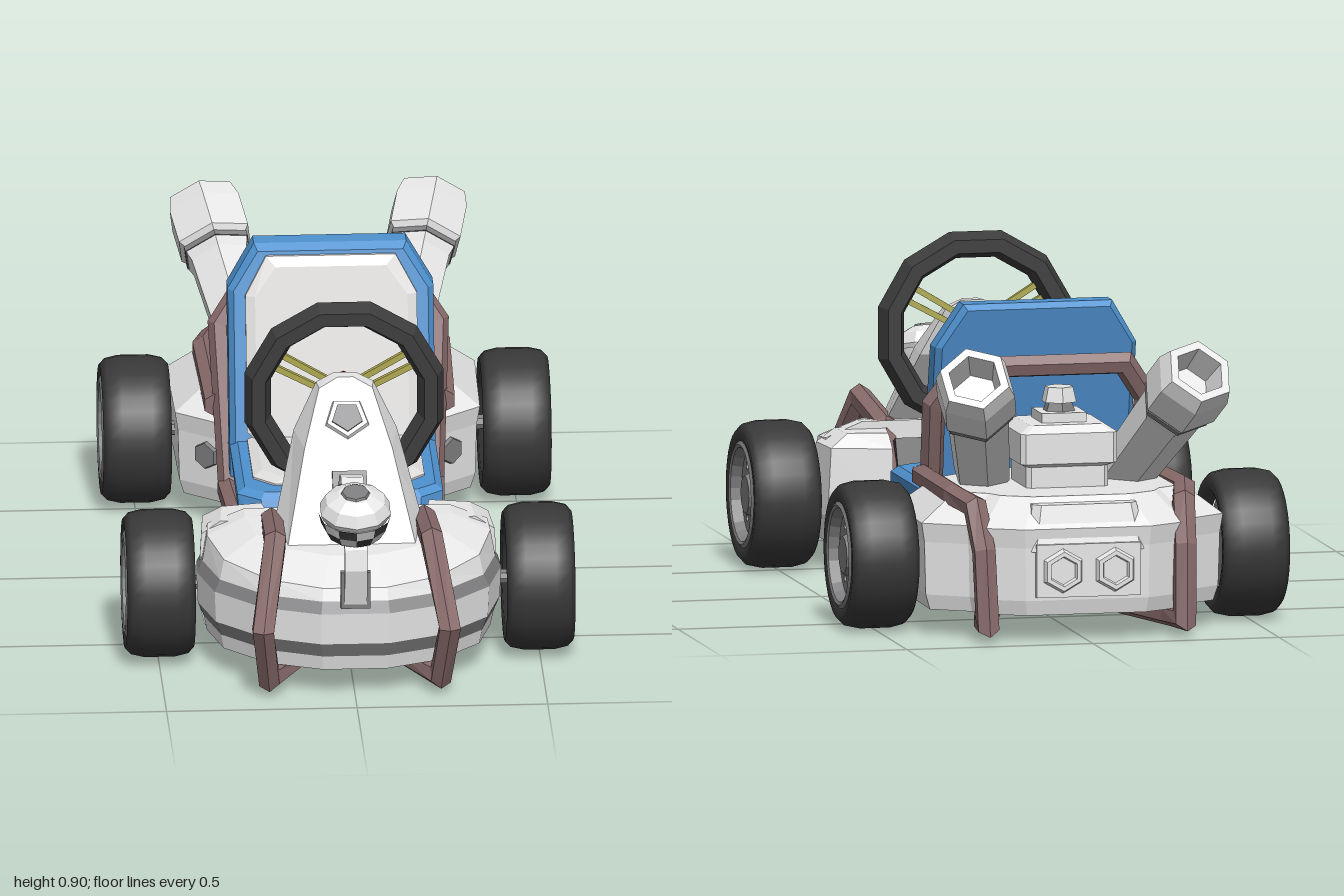
import * as THREE from 'three';

const mat = (name, color) => { const m = new THREE.MeshStandardMaterial({ color }); m.name = name; return m; };
const M = {
  body: mat('light grey body', 0xe6e6e6), cushion: mat('cushion grey', 0xe0dfde), steel: mat('steel grey', 0x7e7e80),
  tyre: mat('tyre black', 0x383838), dark: mat('dark grey', 0x3c3c3c), rail: mat('rail brown', 0x8a6c6c),
  blue: mat('seat blue', 0x4f92d0), red: mat('hub red', 0x7c1c20), yellow: mat('spoke yellow', 0xb0aa52),
};
const SIDES = [1, -1];
const V = (p) => new THREE.Vector3(...p);

function add(parent, name, geo, material, pos = [0, 0, 0], rot = [0, 0, 0]) {
  const m = new THREE.Mesh(geo, material);
  m.name = name; m.position.set(...pos); m.rotation.set(...rot);
  parent.add(m);
  return m;
}
function flat(geo) {
  const g = geo.index ? geo.toNonIndexed() : geo;
  g.computeVertexNormals();
  return g;
}
const box = (w, h, d) => new THREE.BoxGeometry(w, h, d);
const cyl = (r0, r1, h, n) => flat(new THREE.CylinderGeometry(r0, r1, h, n));
const lathe = (pts, n) => new THREE.LatheGeometry(pts.map((p) => new THREE.Vector2(...p)), n);

// closed solid through rings of equal point count, faces turned outward
function loft(rings) {
  const n = rings[0].length, tris = [];
  for (let i = 0; i + 1 < rings.length; i++) for (let j = 0; j < n; j++) {
    const k = (j + 1) % n, a = rings[i][j], b = rings[i][k], c = rings[i + 1][k], d = rings[i + 1][j];
    tris.push([a, b, c], [a, c, d]);
  }
  const cap = (ring, flip) => {
    const mid = [0, 1, 2].map((c) => ring.reduce((s, p) => s + p[c], 0) / n);
    ring.forEach((p, j) => { const q = ring[(j + 1) % n]; tris.push(flip ? [mid, q, p] : [mid, p, q]); });
  };
  cap(rings[0], true);
  cap(rings[rings.length - 1], false);
  const volume = tris.reduce((s, [a, b, c]) => s + V(a).dot(V(b).cross(V(c))), 0);
  const out = volume < 0 ? tris.map(([a, b, c]) => [a, c, b]) : tris;
  const g = new THREE.BufferGeometry();
  g.setAttribute('position', new THREE.Float32BufferAttribute(out.flat(2), 3));
  g.computeVertexNormals();
  return g;
}

// faceted bar with mitred corners along a path
function bar(path, r, sideVec = [1, 0, 0], sides = 6, flatten = 1) {
  const P = path.map(V);
  return loft(P.map((p, i) => {
    const t0 = p.clone().sub(P[Math.max(i - 1, 0)]).normalize();
    const t1 = P[Math.min(i + 1, P.length - 1)].clone().sub(p).normalize();
    const t = t0.clone().add(t1).normalize();
    const u = V(sideVec).addScaledVector(t, -V(sideVec).dot(t)).normalize();
    const v = t.clone().cross(u);
    const mitre = i && i < P.length - 1 ? 1 / Math.max(0.6, t.dot(t1)) : 1;
    return Array.from({ length: sides }, (_, k) => {
      const a = ((k + 0.5) / sides) * Math.PI * 2;
      return p.clone().addScaledVector(u, r * Math.cos(a)).addScaledVector(v, r * flatten * mitre * Math.sin(a)).toArray();
    });
  }));
}

const mirror = (half) => [...half, ...half.slice().reverse().map(([x, ...rest]) => [-x, ...rest])];
// plan outline [x, z] scaled about z = zc and set at a height that may depend on z
const plan = (half, y, sx = 1, sz = sx, zc = 0) => mirror(half).map(([x, z]) => {
  const zz = zc + (z - zc) * sz;
  return [x * sx, typeof y === 'function' ? y(zz) : y, zz];
});
const octagon = (x, z0, z1, c) => [[x - c, z0], [x, z0 + c], [x, z1 - c], [x - c, z1]];

function buildBody(g) {
  // nose with stepped bumper, dark seams and sloping hood
  const nose = [[0.395, 0.52], [0.4, 0.6], [0.36, 0.75], [0.24, 0.875], [0.09, 0.935]];
  const N = (y, s) => plan(nose, y, s, s, 0.52);
  add(g, 'noseSkirt', loft([N(0.075, 0.93), N(0.115, 0.95)]), M.body);
  add(g, 'lowerSeam', loft([N(0.115, 0.95), N(0.155, 0.99)]), M.steel);
  add(g, 'bumper', loft([N(0.155, 0.99), N(0.24, 1)]), M.body);
  add(g, 'upperSeam', loft([N(0.24, 1), N(0.27, 0.96)]), M.steel);
  add(g, 'hood', loft([N(0.27, 0.96), N((z) => 0.345 - Math.max(0, z - 0.55) * 0.12, 0.93),
    N((z) => 0.385 - Math.max(0, z - 0.55) * 0.12, 0.68)]), M.body);
  // fenders beside the open footwell
  for (const s of SIDES) {
    const F = (y, k) => [[0.22, 0.37 + k], [0.385 - k, 0.42 + k * 0.5], [0.395 - k, 0.56], [0.2, 0.56]].map(([x, z]) => [s * x, y, z]);
    add(g, 'fender', loft([F(0.075, 0.02), F(0.15, 0), F(0.33, 0.01), F(0.365, 0.06)]), M.body);
    add(g, 'pedal', box(0.08, 0.17, 0.03), M.dark, [s * 0.15, 0.26, 0.46], [0.4, 0, 0]);
  }
  // floor pan
  add(g, 'floor', box(0.48, 0.075, 0.95), M.body, [0, 0.107, 0.08]);
  // rear housing
  const tail = [[0.25, -0.24], [0.25, -0.3], [0.4, -0.42], [0.405, -0.76], [0.3, -0.83], [0.27, -0.89], [0.17, -0.945]];
  const T = (y, s) => plan(tail, y, s, s, -0.6);
  add(g, 'rearHousing', loft([T(0.07, 0.94), T(0.11, 0.97), T(0.25, 0.98), T(0.3, 1), T(0.375, 0.76)]), M.body);
  add(g, 'rearDeckBox', loft([plan(octagon(0.16, -0.95, -0.72, 0.02), 0.24), plan(octagon(0.14, -0.92, -0.74, 0.02), 0.36)]), M.body);
  // tail outlet plate with two hexagonal outlets
  add(g, 'outletPlate', box(0.28, 0.14, 0.04), M.body, [0, 0.19, -0.935]);
  const outlet = flat(lathe([[0.06, 0], [0.052, 0.018], [0.04, 0.018], [0.036, 0.005], [0, 0.005]], 6));
  for (const s of SIDES) {
    add(g, 'outlet', outlet, M.body, [s * 0.07, 0.19, -0.953], [-Math.PI / 2, 0, 0]);
    add(g, 'sideBolt', cyl(0.035, 0.04, 0.02, 6), M.steel, [s * 0.32, 0.2, -0.365], [Math.PI / 2, 0, -s * 0.71]);
  }
  // leaning steering console with five-sided badge
  add(g, 'console', loft([plan([[0.2, 0.6], [0.17, 0.75]], 0.35), plan([[0.135, 0.43], [0.115, 0.58]], 0.57),
    plan([[0.075, 0.4], [0.07, 0.45]], 0.69), plan([[0.03, 0.4], [0.02, 0.435]], 0.715)]), M.body);
  add(g, 'badgeFrame', cyl(0.056, 0.064, 0.02, 5), M.body, [0, 0.63, 0.518], [0.78, 0, 0]);
  add(g, 'badgeFace', cyl(0.042, 0.042, 0.008, 5), M.steel, [0, 0.637, 0.526], [0.78, 0, 0]);
}

function buildFrame(g) {
  for (const s of SIDES) {
    const path = [[0.3, 0.36, -0.31], [0.31, 0.365, -0.72], [0.28, 0.35, -0.84], [0.27, 0.24, -0.9], [0.265, 0.05, -0.92],
      [0.25, 0.047, -0.82], [0.13, 0.047, -0.42], [0.13, 0.047, 0.45], [0.14, 0.047, 0.72], [0.225, 0.05, 0.895], [0.245, 0.21, 0.97],
      [0.205, 0.405, 0.82], [0.2, 0.365, 0.56], [0.235, 0.16, 0.39], [0.27, 0.155, -0.24]];
    add(g, 'sideRail', bar(path.map(([x, y, z]) => [s * x, y, z]), 0.032), M.rail);
  }
  const hoop = mirror([[0.265, 0.15, -0.24], [0.285, 0.56, -0.38], [0.22, 0.655, -0.41]]);
  add(g, 'seatHoop', bar(hoop, 0.031, [0, 0.32, 0.95]), M.rail);
}

function buildSeat(g) {
  add(g, 'seatBase', loft([plan([[0.25, -0.25], [0.26, 0.22], [0.2, 0.28]], 0.19), plan([[0.27, -0.25], [0.27, 0.19], [0.21, 0.24]], 0.3),
    plan([[0.25, -0.25], [0.25, 0.18], [0.2, 0.22]], 0.315)]), M.blue);
  const front = (y) => -0.14 - 0.25 * (y - 0.25), back = (y) => -0.25 - 0.215 * (y - 0.23);
  const shell = (zf, k) => mirror([[0.27 - k, 0.22], [0.27 - k, 0.7], [0.2 - k * 0.6, 0.815 - k]]).map(([x, y]) => [x, y, zf(y)]);
  add(g, 'seatBack', loft([shell(front, 0.015), shell((y) => front(y) - 0.02, 0), shell((y) => back(y) + 0.02, 0), shell(back, 0.015)]), M.blue);
  // padded cushions
  const seatPad = (y, k) => plan([[0.19 - k, -0.22], [0.225 - k, -0.2], [0.225 - k, 0.12 - k], [0.17 - k, 0.175 - k]], y);
  add(g, 'seatCushion', loft([seatPad(0.3, 0), seatPad(0.32, 0), seatPad(0.33, 0.025)]), M.cushion);
  const backPad = (d, k) => mirror([[0.18 - k, 0.3], [0.225 - k, 0.34], [0.225 - k, 0.69], [0.17 - k, 0.79 - k]]).map(([x, y]) => [x, y, front(y) + d]);
  add(g, 'backCushion', loft([backPad(-0.01, 0), backPad(0.008, 0), backPad(0.018, 0.025)]), M.cushion);
}

function buildSteering(g) {
  const wheel = new THREE.Group();
  wheel.name = 'steeringWheel';
  wheel.position.set(0, 0.64, 0.372);
  const rim = new THREE.TorusGeometry(0.234, 0.036, 6, 12);
  rim.rotateZ(Math.PI / 12).scale(1, 1, 1.45);
  add(wheel, 'steeringRim', flat(rim), M.dark);
  for (const a of [0.52, Math.PI - 0.52, -Math.PI / 2]) for (const s of SIDES) {
    const c = Math.cos(a), n = Math.sin(a), o = s * 0.014;
    add(wheel, 'spoke', bar([[-n * o, c * o, -0.01], [c * 0.22 - n * o * 1.4, n * 0.22 + c * o * 1.4, 0]], 0.011, [0, 0, 1], 4), M.yellow);
  }
  add(wheel, 'steeringHub', cyl(0.055, 0.05, 0.035, 8), M.red, [0, 0, -0.018], [-Math.PI / 2, 0, 0]);
  add(wheel, 'steeringColumn', cyl(0.045, 0.035, 0.06, 8), M.body, [0, 0, 0.03], [Math.PI / 2, 0, 0]);
  g.add(wheel);
}

function buildWheels(g) {
  const halfTyre = [[0.12, -0.06], [0.14, -0.086], [0.17, -0.09], [0.186, -0.075], [0.194, -0.04]];
  const tyre = lathe([...halfTyre, ...halfTyre.slice().reverse().map(([r, y]) => [r, -y])], 32);
  const rim = flat(lathe([[0.142, 0.086], [0.132, 0.092], [0.124, 0.088], [0.116, 0.06], [0.1, 0.055]], 24));
  const disc = new THREE.Shape().absarc(0, 0, 0.118, 0, Math.PI * 2);
  for (let i = 0; i < 10; i++) {
    const a = (i / 10) * Math.PI * 2;
    disc.holes.push(new THREE.Path().absarc(Math.cos(a) * 0.085, Math.sin(a) * 0.085, 0.01, 0, Math.PI * 2));
  }
  const plate = new THREE.ExtrudeGeometry(disc, { depth: 0.015, bevelEnabled: false, curveSegments: 10 });
  plate.rotateX(-Math.PI / 2);
  for (const z of [0.56, -0.58]) {
    add(g, 'axle', cyl(0.02, 0.02, 0.86, 8), M.steel, [0, 0.196, z], [0, 0, Math.PI / 2]);
    for (const s of SIDES) {
      const w = new THREE.Group();
      w.name = 'wheel';
      w.position.set(s * 0.498, 0.196, z);
      w.rotation.z = -s * Math.PI / 2;
      add(w, 'tyre', tyre, M.tyre);
      add(w, 'rim', rim, M.steel);
      add(w, 'rimPlate', plate, M.steel, [0, 0.045, 0]);
      add(w, 'rimBack', cyl(0.125, 0.125, 0.1, 24), M.steel, [0, -0.005, 0]);
      add(w, 'hubCap', cyl(0.05, 0.06, 0.02, 12), M.steel, [0, 0.068, 0]);
      g.add(w);
    }
  }
}

function buildEngine(g) {
  const E = (y, x, d) => plan(octagon(x, -0.61 - d, -0.61 + d, 0.012), y);
  add(g, 'engineBlock', loft([E(0.36, 0.11, 0.1), E(0.43, 0.11, 0.1), E(0.44, 0.13, 0.12), E(0.52, 0.13, 0.12), E(0.54, 0.1, 0.095)]), M.body);
  add(g, 'engineCap', box(0.12, 0.03, 0.12), M.body, [0, 0.55, -0.605]);
  add(g, 'capCollar', cyl(0.035, 0.045, 0.025, 6), M.steel, [0, 0.575, -0.605]);
  add(g, 'capKnob', cyl(0.038, 0.048, 0.04, 6), M.body, [0, 0.608, -0.605]);
  // flared six-sided exhausts
  const pipe = flat(lathe([[0, 0], [0.076, 0], [0.086, 0.31], [0.094, 0.33], [0.094, 0.35], [0.108, 0.365], [0.108, 0.46], [0.094, 0.505],
    [0.07, 0.505], [0.06, 0.42], [0, 0.42]], 6));
  for (const s of SIDES) {
    const base = V([s * 0.195, 0.395, -0.55]), dir = V([s * 0.3, 0.695, -0.925]).sub(base).normalize();
    const m = add(g, 'exhaust', pipe, M.body, base.toArray());
    m.quaternion.setFromUnitVectors(V([0, 1, 0]), dir);
    add(m, 'exhaustBand', cyl(0.098, 0.098, 0.014, 6), M.steel, [0, 0.342, 0]);
  }
}

function buildOrnament(g) {
  // domed cap with a chequered skirt, held by two straps
  const o = new THREE.Group();
  o.name = 'noseOrnament';
  o.position.set(0, 0.51, 0.905);
  o.rotation.x = 0.25;
  add(o, 'dome', flat(lathe([[0.09, 0], [0.096, 0.015], [0.08, 0.045], [0.045, 0.064], [0, 0.066]], 10)), M.body);
  add(o, 'domeSpot', cyl(0.035, 0.04, 0.008, 8), M.steel, [0, 0.066, 0]);
  add(o, 'domeBase', cyl(0.088, 0.045, 0.07, 16), M.body, [0, -0.037, 0]);
  const count = 12, step = (Math.PI * 2) / count, radii = [0.096, 0.089, 0.074];
  for (let row = 0; row < 2; row++) for (let i = 0; i < count; i++) {
    const check = new THREE.CylinderGeometry(radii[row], radii[row + 1], 0.03, 1, 1, true, i * step, step);
    add(o, 'check', check, (i + row) % 2 ? M.dark : M.body, [0, -0.012 - row * 0.03, 0]);
  }
  g.add(o);
  add(g, 'frontStrap', bar([[0, 0.27, 0.925], [0, 0.37, 0.95], [0, 0.42, 0.94], [0, 0.46, 0.91]], 0.042, [1, 0, 0], 4, 0.4), M.body);
  add(g, 'frontClip', box(0.078, 0.1, 0.02), M.steel, [0, 0.305, 0.925]);
  add(g, 'rearStrap', bar([[0, 0.49, 0.66], [0, 0.53, 0.7], [0, 0.545, 0.76], [0, 0.51, 0.86]], 0.042, [1, 0, 0], 4, 0.4), M.body);
  add(g, 'rearClip', box(0.09, 0.02, 0.08), M.steel, [0, 0.49, 0.65], [0.8, 0, 0]);
}

export function createModel() {
  const g = new THREE.Group();
  g.name = 'goKart';
  [buildBody, buildFrame, buildSeat, buildSteering, buildWheels, buildEngine, buildOrnament].forEach((build) => build(g));
  return g;
}
